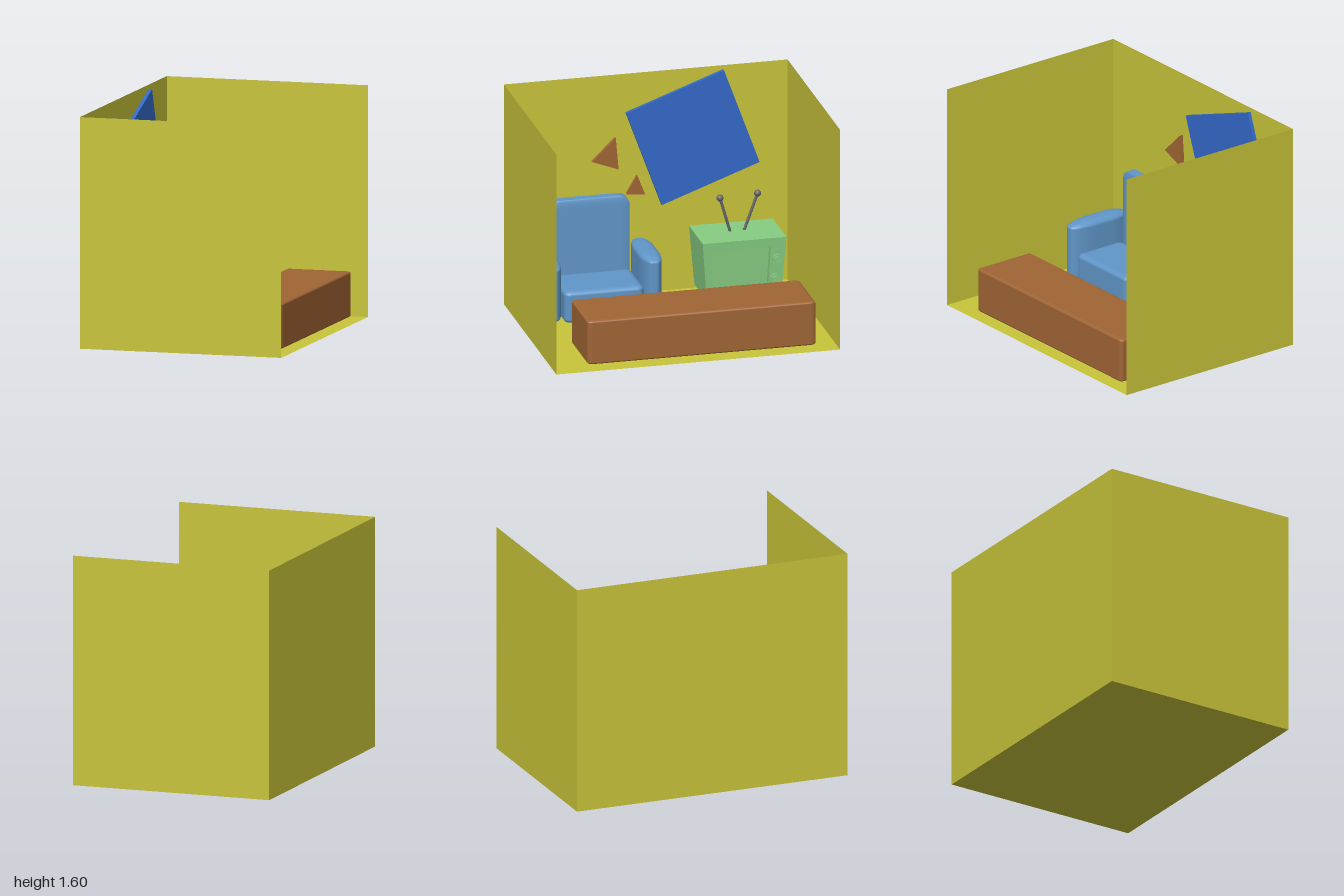
import * as THREE from 'three';
import { RoundedBoxGeometry } from 'three/addons/geometries/RoundedBoxGeometry.js';

const mat = (name, color, side = THREE.FrontSide) => {
  const m = new THREE.MeshStandardMaterial({ color, side });
  m.name = name;
  return m;
};

export function createModel() {
  const room = new THREE.Group();
  room.name = 'livingRoom';
  const wallPaint = mat('mustard wall', 0xc8c43a, THREE.DoubleSide);
  const brown = mat('brown', 0xa06535);
  const blue = mat('picture blue', 0x3469c9);
  const fabric = mat('armchair blue', 0x6096c8);
  const green = mat('television green', 0x86cc82);
  const metal = mat('antenna grey', 0x66666a);

  const add = (parent, name, geometry, material, x = 0, y = 0, z = 0) => {
    const mesh = new THREE.Mesh(geometry, material);
    mesh.name = name;
    mesh.position.set(x, y, z);
    parent.add(mesh);
    return mesh;
  };
  const group = (name) => {
    const g = new THREE.Group();
    g.name = name;
    room.add(g);
    return g;
  };

  // Box between two corners, with a separate rounding radius along each axis
  const softBox = (parent, name, material, min, max, r) => {
    const size = max.map((v, i) => v - min[i]);
    const g = new RoundedBoxGeometry(size[0] / r[0], size[1] / r[1], size[2] / r[2], 5, 1);
    g.scale(...r);
    return add(parent, name, g, material, ...max.map((v, i) => (v + min[i]) / 2));
  };

  // Outline given as [z, y] points, extruded along +x from x = 0
  const sideShape = (points) => new THREE.Shape(points.map(([z, y]) => new THREE.Vector2(-z, y)));
  const extrudeX = (shape, depth) =>
    new THREE.ExtrudeGeometry(shape, { depth, bevelEnabled: false }).rotateY(Math.PI / 2);

  // Open room: floor and three walls
  const W = 1.44, H = 1.6, D = 2;
  add(room, 'floor', new THREE.PlaneGeometry(W, D).rotateX(-Math.PI / 2), wallPaint);
  add(room, 'sideWall', new THREE.PlaneGeometry(D, H).rotateY(Math.PI / 2), wallPaint, -W / 2, H / 2, 0);
  for (const s of [1, -1])
    add(room, s > 0 ? 'frontWall' : 'backWall', new THREE.PlaneGeometry(W, H), wallPaint, 0, H / 2, s * D / 2);

  // Long bench
  softBox(room, 'bench', brown, [0.19, 0.02, -0.85], [0.65, 0.337, 0.76], [0.022, 0.015, 0.04]);

  // Armchair
  const chair = group('armchair');
  softBox(chair, 'seat', fabric, [-0.555, 0.02, 0.15], [-0.17, 0.25, 0.71], [0.04, 0.03, 0.045]);
  softBox(chair, 'backrest', fabric, [-0.65, 0.02, 0.15], [-0.568, 0.77, 0.71], [0.012, 0.07, 0.07]);
  for (const z of [0, 0.71])
    softBox(chair, 'armrest', fabric, [-0.662, 0.02, z], [-0.166, 0.447, z + 0.15], [0.18, 0.04, 0.065]);

  // Television: case narrows toward the bottom, with a recessed screen
  const tv = group('television');
  const cx = -0.415, cz = -0.57, top = 0.497, bottom = 0.077, halfX = 0.19, halfZ = 0.295, recess = 0.045;
  const taper = (y) => 0.89 + 0.11 * (y - bottom) / (top - bottom);
  const tapered = (g) => {
    const p = g.attributes.position;
    for (let i = 0; i < p.count; i++) {
      const k = taper(p.getY(i));
      p.setXYZ(i, p.getX(i) * k, p.getY(i), p.getZ(i) * k);
    }
    g.computeVertexNormals();
    return g;
  };
  const rect = (z0, z1, y0, y1) => [[z0, y0], [z1, y0], [z1, y1], [z0, y1]];
  const caseOutline = rect(halfZ, -halfZ, bottom, top);
  const frame = sideShape(caseOutline);
  frame.holes.push(sideShape(rect(0.239, -0.188, 0.115, 0.432)));
  add(tv, 'case', tapered(extrudeX(sideShape(caseOutline), 2 * halfX - recess).translate(-halfX, 0, 0)),
    green, cx, 0, cz);
  add(tv, 'screenFrame', tapered(extrudeX(frame, recess).translate(halfX - recess, 0, 0)), green, cx, 0, cz);

  // Knobs, each with a raised cap
  for (const [y, z] of [[0.345, -0.8], [0.2, -0.787]]) {
    const faceX = cx + halfX * taper(y);
    for (const [name, r, len] of [['knob', 0.034, 0.016], ['knobCap', 0.022, 0.028]])
      add(tv, name, new THREE.CylinderGeometry(r, r, len + 0.01, 24).rotateZ(Math.PI / 2),
        green, faceX + (len - 0.01) / 2, y, z);
  }

  // Antennas
  for (const [z0, z1, y1] of [[-0.525, -0.45, 0.743], [-0.615, -0.715, 0.755]]) {
    const tip = new THREE.Vector3(-0.435, y1, z1);
    const rod = new THREE.LineCurve3(new THREE.Vector3(-0.435, 0.48, z0), tip);
    add(tv, 'antennaRod', new THREE.TubeGeometry(rod, 1, 0.01, 12), metal);
    add(tv, 'antennaTip', new THREE.SphereGeometry(0.024, 20, 14), metal, ...tip.toArray());
  }

  // Tilted picture and triangular wall ornaments
  const picture = add(room, 'picture', new THREE.BoxGeometry(0.026, 0.734, 0.734), blue, -0.696, 1.105, -0.323);
  picture.rotation.x = THREE.MathUtils.degToRad(20);
  const triangles = [
    [[0.385, 0.99], [0.2, 0.92], [0.22, 1.15]],
    [[0.143, 0.733], [0.012, 0.72], [0.067, 0.863]],
  ];
  for (const t of triangles)
    add(room, 'wallTriangle', extrudeX(sideShape(t), 0.027), brown, -0.714, 0, 0);

  return room;
}
